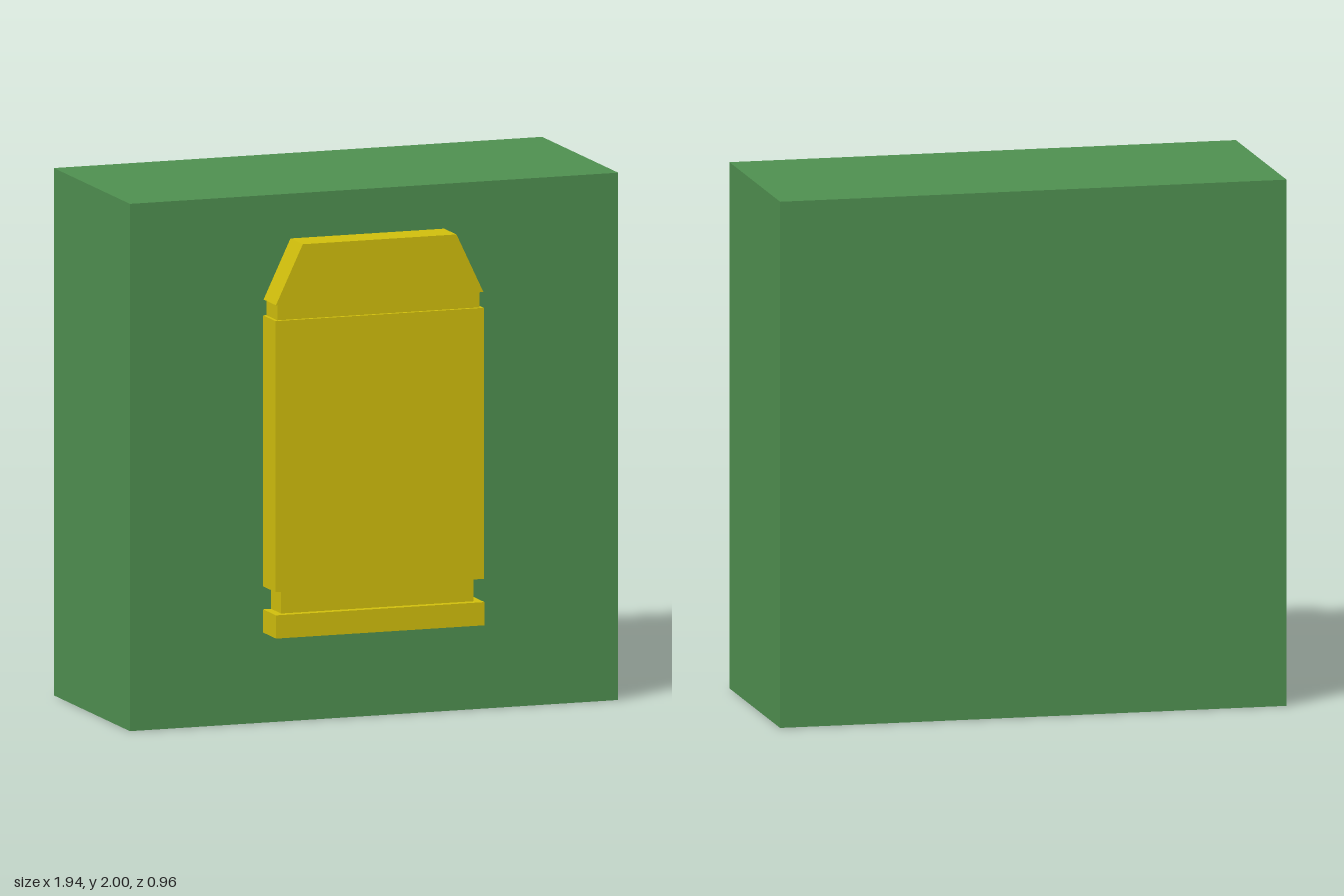
import * as THREE from 'three';

export function createModel() {
  const group = new THREE.Group();
  const green = new THREE.MeshStandardMaterial({ color: 0x4f8f50, flatShading: true });
  const yellow = new THREE.MeshStandardMaterial({ color: 0xd0be0c, flatShading: true });

  // Solid block
  const block = new THREE.Mesh(new THREE.BoxGeometry(1.944, 2, 0.823), green);
  block.name = 'block';
  block.position.set(-0.001, 1, -0.07);
  group.add(block);

  // Raised cartridge emblem, slightly left of centre on the front face
  const emblem = new THREE.Group();
  emblem.name = 'cartridgeEmblem';
  emblem.position.set(-0.028, 0, 0.34);
  group.add(emblem);

  // Each slab: name, bottom y, top y, half width at bottom, half width at top, depth
  const slabs = [
    ['rim', 0.342, 0.43, 0.415, 0.415, 0.142],
    ['extractorGroove', 0.43, 0.517, 0.383, 0.383, 0.11],
    ['casing', 0.517, 1.545, 0.415, 0.415, 0.135],
    ['neck', 1.545, 1.605, 0.402, 0.402, 0.12],
    ['bulletTip', 1.605, 1.83, 0.413, 0.306, 0.135],
  ];
  for (const [name, y0, y1, w0, w1, depth] of slabs) {
    const outline = new THREE.Shape([
      new THREE.Vector2(-w0, y0),
      new THREE.Vector2(w0, y0),
      new THREE.Vector2(w1, y1),
      new THREE.Vector2(-w1, y1),
    ]);
    const slab = new THREE.Mesh(
      new THREE.ExtrudeGeometry(outline, { depth, bevelEnabled: false }), yellow);
    slab.name = name;
    emblem.add(slab);
  }
  return group;
}
